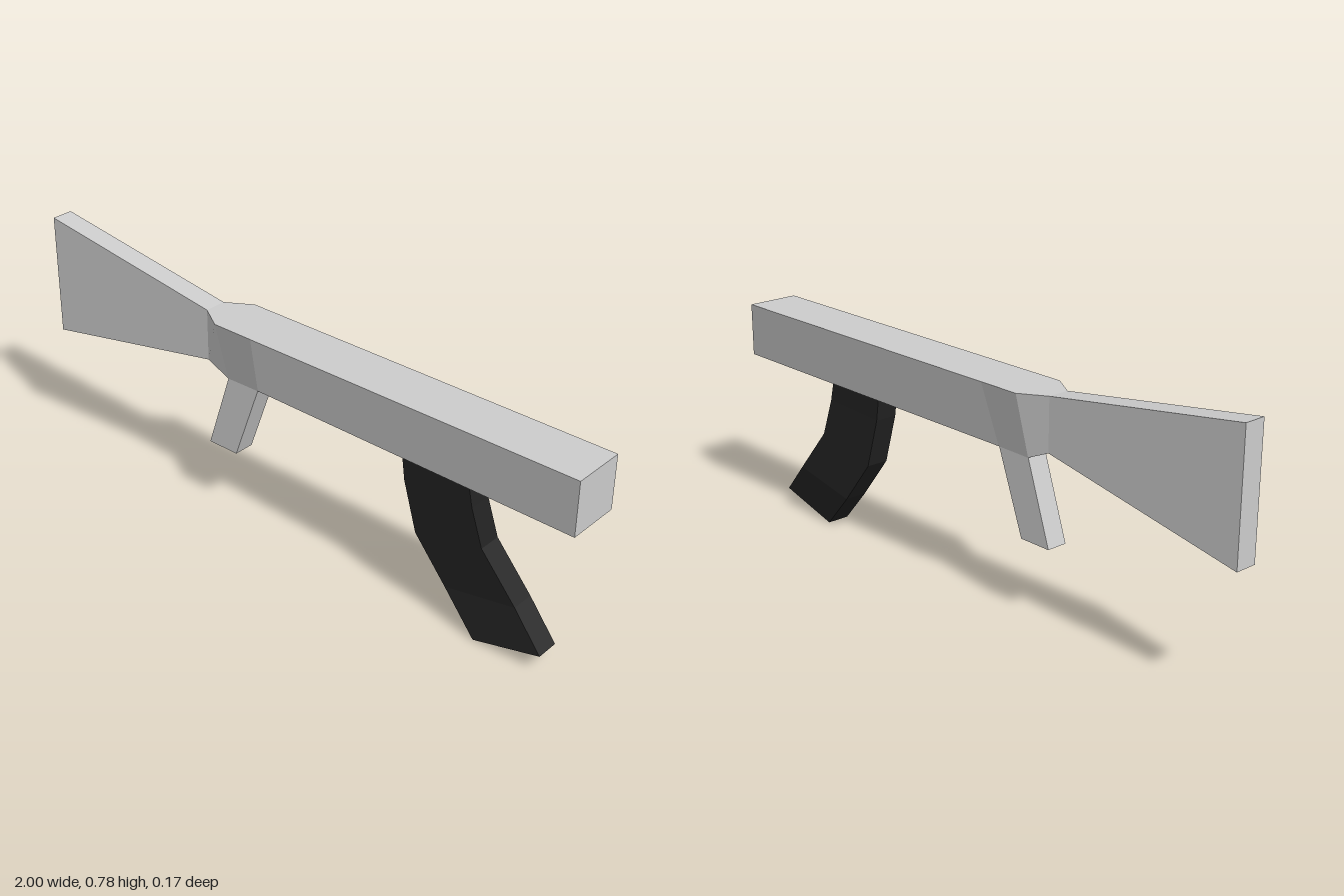
import * as THREE from 'three';

// Joins four-cornered sections into a closed solid with one flat normal per side.
// Corners run clockwise when seen from the far end.
function loft(name, sections, material) {
  const positions = [], normals = [];
  const quad = (a, b, c, d) => {
    const n = c.clone().sub(a).cross(d.clone().sub(b)).normalize();
    for (const p of [a, b, c, a, c, d]) {
      positions.push(p.x, p.y, p.z);
      normals.push(n.x, n.y, n.z);
    }
  };
  const s = sections.map(sec => sec.map(p => new THREE.Vector3(...p)));
  for (let i = 0; i < s.length - 1; i++) {
    for (let j = 0; j < 4; j++) {
      const k = (j + 1) % 4;
      quad(s[i][j], s[i + 1][j], s[i + 1][k], s[i][k]);
    }
  }
  quad(...s[0]);
  quad(...s[s.length - 1].slice().reverse());
  const geometry = new THREE.BufferGeometry();
  geometry.setAttribute('position', new THREE.Float32BufferAttribute(positions, 3));
  geometry.setAttribute('normal', new THREE.Float32BufferAttribute(normals, 3));
  const mesh = new THREE.Mesh(geometry, material);
  mesh.name = name;
  return mesh;
}

// Section across the length: top and bottom edges with their own half widths
const upright = ([xTop, yTop, wTop, xBot, yBot, wBot]) => [
  [xTop, yTop, wTop], [xTop, yTop, -wTop], [xBot, yBot, -wBot], [xBot, yBot, wBot],
];

// Section of a hanging part: rear and front edges around a z centre
const hanging = ([x0, y0, x1, y1, z, w]) => [
  [x0, y0, z + w], [x1, y1, z + w], [x1, y1, z - w], [x0, y0, z - w],
];

export function createModel() {
  const group = new THREE.Group();
  const grey = new THREE.MeshStandardMaterial({ color: 0xcccccc });
  grey.name = 'light grey';
  const black = new THREE.MeshStandardMaterial({ color: 0x222222 });
  black.name = 'black';

  // Flared stock, narrow neck and box body
  const neck = [-0.33, 0.685, 0.035, -0.33, 0.52, 0.035];
  const shoulder = [-0.25, 0.685, 0.085, -0.25, 0.485, 0.035];
  group.add(loft('stock', [[-1, 0.782, 0.035, -1, 0.388, 0.035], neck].map(upright), grey));
  group.add(loft('body', [
    neck,
    shoulder,
    [-0.11, 0.685, 0.085, -0.13, 0.487, 0.035],
    [1, 0.685, 0.085, 1, 0.517, 0.085],
  ].map(upright), grey));

  // Slanted rear grip
  group.add(loft('grip', [
    [-0.248, 0.49, -0.13, 0.49, 0, 0.034],
    [-0.335, 0.232, -0.225, 0.232, 0, 0.034],
  ].map(hanging), grey));

  // Curved magazine, slightly bent sideways
  group.add(loft('magazine', [
    [0.415, 0.512, 0.64, 0.512, 0.007, 0.037],
    [0.425, 0.42, 0.655, 0.43, 0.004, 0.037],
    [0.465, 0.26, 0.69, 0.31, -0.003, 0.037],
    [0.57, 0.12, 0.805, 0.165, -0.011, 0.037],
    [0.685, 0, 0.905, 0.058, 0.002, 0.037],
  ].map(hanging), black));

  return group;
}
